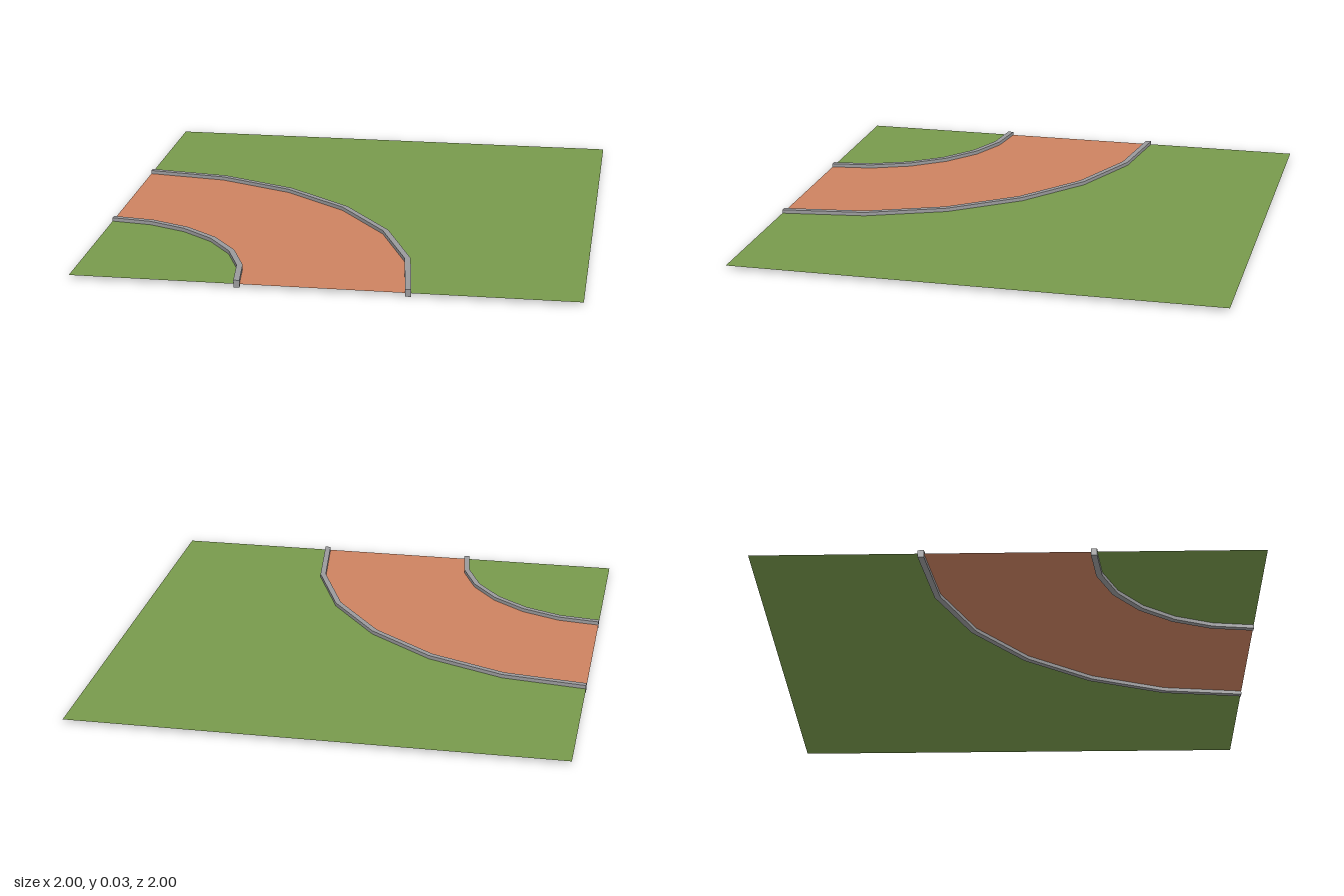
import * as THREE from 'three';

const STEPS = 6, HEIGHT = 0.03, HALF_WIDTH = 0.012;
const INNER = 2 / 3, OUTER = 4 / 3; // kerb centre lines, measured from corner (-1, 1)
const angle = (i) => (i / STEPS) * Math.PI / 2;

// Points of a quarter arc in the flat plan (plan y is -z)
function arc(r) {
  return Array.from({ length: STEPS + 1 }, (_, i) =>
    new THREE.Vector2(-1 + r * Math.sin(angle(i)), -1 + r * Math.cos(angle(i))));
}

// Flat sheet at half the kerb height
function sheet(name, points, material) {
  const geometry = new THREE.ShapeGeometry(new THREE.Shape(points));
  geometry.rotateX(-Math.PI / 2).translate(0, HEIGHT / 2, 0);
  const mesh = new THREE.Mesh(geometry, material);
  mesh.name = name;
  return mesh;
}

// Rectangular section swept round the quarter arc, smooth along its length
function kerb(name, radius, material) {
  const r0 = radius - HALF_WIDTH, r1 = radius + HALF_WIDTH;
  const section = [[r0, 0], [r1, 0], [r1, HEIGHT], [r0, HEIGHT]];
  const normals2d = [[0, -1], [1, 0], [0, 1], [-1, 0]];
  const position = [], normal = [], index = [];
  const add = ([r, y], a, n) => {
    position.push(-1 + r * Math.sin(a), y, 1 - r * Math.cos(a));
    normal.push(...n);
  };
  const quad = (a, b, c, d) => index.push(a, b, c, a, c, d);

  // Four long faces
  section.forEach((p, k) => {
    const q = section[(k + 1) % 4], [nr, ny] = normals2d[k];
    const base = position.length / 3;
    for (let i = 0; i <= STEPS; i++) {
      const a = angle(i), n = [nr * Math.sin(a), ny, -nr * Math.cos(a)];
      add(p, a, n);
      add(q, a, n);
      const j = base + i * 2;
      if (i < STEPS) quad(j, j + 1, j + 3, j + 2);
    }
  });

  // End caps on the tile edges
  for (const [a, n, loop] of [
    [0, [-1, 0, 0], [0, 3, 2, 1]],
    [Math.PI / 2, [0, 0, 1], [0, 1, 2, 3]],
  ]) {
    const base = position.length / 3;
    loop.forEach((k) => add(section[k], a, n));
    quad(base, base + 1, base + 2, base + 3);
  }

  const geometry = new THREE.BufferGeometry();
  geometry.setAttribute('position', new THREE.Float32BufferAttribute(position, 3));
  geometry.setAttribute('normal', new THREE.Float32BufferAttribute(normal, 3));
  geometry.setIndex(index);
  const mesh = new THREE.Mesh(geometry, material);
  mesh.name = name;
  return mesh;
}

export function createModel() {
  const make = (name, color, side = THREE.FrontSide) =>
    Object.assign(new THREE.MeshStandardMaterial({ color, side }), { name });
  const grass = make('grass green', 0x789a4c, THREE.DoubleSide);
  const paving = make('terracotta paving', 0xcc8260, THREE.DoubleSide);
  const stone = make('kerb grey', 0x9a9a9c);

  const v = (x, y) => new THREE.Vector2(x, y);
  const inner = arc(INNER), outer = arc(OUTER);
  const group = new THREE.Group();
  group.name = 'curvedPathTile';
  group.add(
    sheet('innerGrass', [v(-1, -1), ...inner], grass),
    sheet('path', [...outer, ...inner.slice().reverse()], paving),
    sheet('outerGrass', [...outer, v(1, -1), v(1, 1), v(-1, 1)], grass),
    kerb('innerKerb', INNER, stone),
    kerb('outerKerb', OUTER, stone),
  );
  return group;
}
